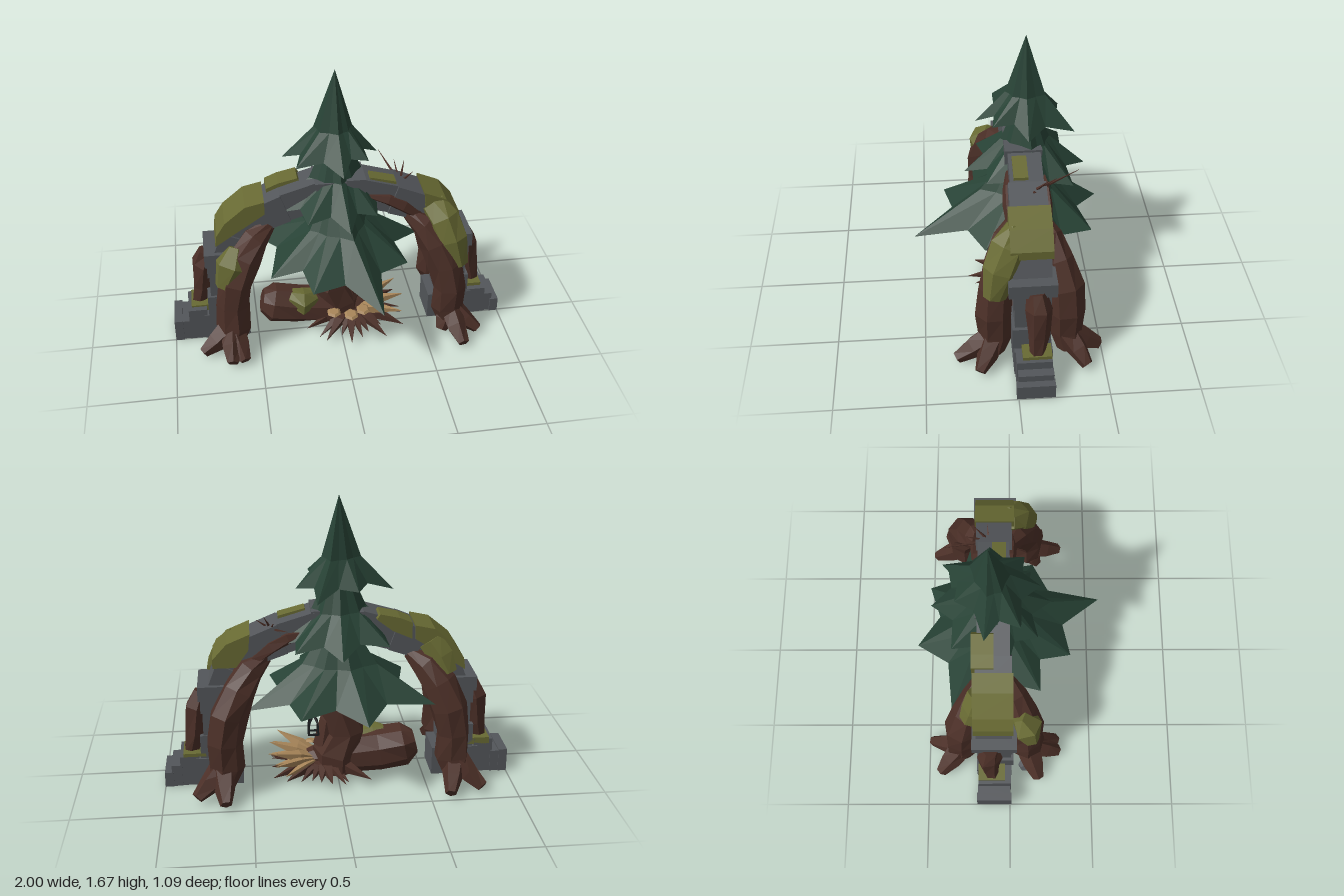
import * as THREE from 'three';

const mat = (name, color) => new THREE.MeshStandardMaterial({ name, color, flatShading: true });

export function createModel() {
  const root = new THREE.Group();
  const stone = mat('stone', 0x53565a), bark = mat('bark', 0x4b2f27), moss = mat('moss', 0x686a33);
  const needles = mat('needles', 0x274235), wood = mat('splitWood', 0xa68458), iron = mat('iron', 0x1c1e20);
  needles.side = THREE.DoubleSide;
  let seed = 7;
  const rnd = () => (seed = (seed * 16807) % 2147483647) / 2147483647;

  const add = (name, geo, material, parent = root) => {
    const m = new THREE.Mesh(geo, material);
    m.name = name;
    parent.add(m);
    return m;
  };
  const fromTriangles = (points) => {
    const g = new THREE.BufferGeometry().setFromPoints(points);
    g.computeVertexNormals();
    return g;
  };

  // Faceted limb through [x, y, z, radius] stations, slightly uneven
  function limb(stations, sides = 6, rough = 0.12) {
    const c = stations.map((s) => new THREE.Vector3(s[0], s[1], s[2]));
    const n = c.length, dir = c[n - 1].clone().sub(c[0]).normalize();
    const ref = Math.abs(dir.z) > 0.6 ? new THREE.Vector3(1, 0, 0) : new THREE.Vector3(0, 0, 1);
    const rings = c.map((p, i) => {
      const t = c[Math.min(i + 1, n - 1)].clone().sub(c[Math.max(i - 1, 0)]).normalize();
      const u = ref.clone().cross(t).normalize(), v = t.clone().cross(u);
      return Array.from({ length: sides }, (_, j) => {
        const a = (j + 0.5) / sides * Math.PI * 2, r = stations[i][3] * (1 + (rnd() - 0.5) * 2 * rough);
        return p.clone().addScaledVector(u, Math.cos(a) * r).addScaledVector(v, Math.sin(a) * r);
      });
    });
    const tri = [];
    for (let j = 0; j < sides; j++) {
      const k = (j + 1) % sides;
      for (let i = 0; i < n - 1; i++) {
        const [a, b] = [rings[i], rings[i + 1]];
        tri.push(a[j], a[k], b[k], a[j], b[k], b[j]);
      }
      tri.push(c[0], rings[0][k], rings[0][j], c[n - 1], rings[n - 1][j], rings[n - 1][k]);
    }
    return fromTriangles(tri);
  }

  // Box given by its limits
  function block(name, x0, x1, y0, y1, z0, z1, material = stone) {
    const m = add(name, new THREE.BoxGeometry(x1 - x0, y1 - y0, z1 - z0), material);
    m.position.set((x0 + x1) / 2, (y0 + y1) / 2, (z0 + z1) / 2);
  }
  // Front outline pushed through in z
  function prism(name, outline, z0, z1, material) {
    const shape = new THREE.Shape(outline.map((p) => new THREE.Vector2(p[0], p[1])));
    const g = new THREE.ExtrudeGeometry(shape, { depth: z1 - z0, bevelEnabled: false });
    add(name, g.translate(0, 0, z0), material);
  }

  // Arch stones, from the right end over the top to the left end
  const outerHalf = [[0.73, 0.62], [0.68, 0.75], [0.53, 0.89], [0.34, 0.97], [0.14, 1.03]];
  const innerHalf = [[0.57, 0.62], [0.53, 0.68], [0.42, 0.75], [0.28, 0.8], [0.11, 0.85]];
  const mirrored = (half) => [...half, ...half.map(([x, y]) => [-x, y]).reverse()];
  const outer = mirrored(outerHalf), inner = mirrored(innerHalf);
  for (let i = 0; i < outer.length - 1; i++) {
    const d = (i % 2) * 0.012;
    prism('archStone', [outer[i], outer[i + 1], inner[i + 1], inner[i]], -0.195 + d, 0.012 - d, stone);
  }
  block('keystone', 0.04, 0.15, 0.9, 1.04, -0.19, 0.015);

  // Toe tips [|x|, z] for each giant root: side, then front and back
  const toes = {
    '1,1': [[0.82, 0.2], [0.7, 0.325], [0.6, 0.18]], '1,-1': [[0.81, -0.4], [0.65, -0.485]],
    '-1,1': [[0.84, 0.18], [0.67, 0.3], [0.6, 0.29]], '-1,-1': [[0.8, -0.43], [0.61, -0.485]],
  };
  // Pillars, caps and stepped bases
  for (const s of [1, -1]) {
    const b = (name, x0, x1, y0, y1, z0, z1, m) => block(name, Math.min(s * x0, s * x1), Math.max(s * x0, s * x1), y0, y1, z0, z1, m);
    b('pillarBase', 0.55, 0.82, 0, 0.17, -0.2, 0.01);
    b('baseStep', 0.8, 0.91, 0, s > 0 ? 0.18 : 0.21, -0.19, 0.005);
    b('baseStep', 0.9, 0.96, 0, 0.13, -0.195, 0);
    b('baseStep', 0.95, 1, 0, s > 0 ? 0.09 : 0.14, -0.2, 0.01);
    b('pillarStone', 0.6, 0.79, 0.17, 0.31, -0.19, 0.02);
    b('pillarStone', 0.59, 0.77, 0.31, 0.45, -0.18, 0.005);
    b('pillarStone', 0.6, 0.78, 0.45, 0.55, -0.19, 0.015);
    b('pillarCap', 0.58, 0.79, 0.54, 0.625, -0.22, 0.04);
    b('stepMoss', 0.76, 0.89, 0.18, s > 0 ? 0.2 : 0.22, -0.19, -0.03, moss);
    // Buttress root outside the pillar
    add('sideRoot', limb([[s * 0.77, 0.56, -0.11, 0.05], [s * 0.8, 0.47, -0.12, 0.07], [s * 0.82, 0.3, -0.12, 0.06], [s * 0.85, 0.17, -0.11, 0.04]]), bark);

    // Giant roots, front and back, each ending in thick toes
    for (const f of [1, -1]) {
      const z = (v) => -0.09 + f * (v + 0.09);
      add('giantRoot', limb([[s * 0.4, 0.775, z(-0.02), 0.035], [s * 0.49, 0.71, z(0.02), 0.08], [s * 0.565, 0.61, z(0.065), 0.095],
        [s * 0.62, 0.47, z(0.1), 0.1], [s * 0.645, 0.32, z(0.11), 0.1], [s * 0.645, 0.17, z(0.11), 0.098], [s * 0.67, 0.06, z(0.13), 0.075]], 7), bark);
      for (const [tx, tz] of toes[[s, f]]) {
        const mx = 0.45 * 0.66 + 0.55 * tx, mz = 0.45 * z(0.11) + 0.55 * tz;
        add('rootToe', limb([[s * 0.66, 0.16, z(0.11), 0.075], [s * mx, 0.085, mz, 0.06], [s * tx, 0.032, tz, 0.034]], 5), bark);
      }
    }
  }
  // Short roots breaking out of the arch faces
  for (const z of [0, -0.19])
    add('archRoot', limb([[0.17, 0.92, z, 0.012], [0.28, 0.89, z, 0.036], [0.37, 0.84, z, 0.04], [0.47, 0.76, z, 0.03]], 5), bark);
  add('looseStone', new THREE.DodecahedronGeometry(0.04), stone).position.set(-0.76, 0.035, 0.09);

  // Moss over the arch shoulders and top
  prism('leftArchMoss', [[-0.72, 0.67], [-0.43, 0.865], [-0.43, 0.945], [-0.54, 0.92], [-0.66, 0.82], [-0.71, 0.74]].reverse(), -0.21, 0.02, moss);
  prism('leftTopMoss', [[-0.41, 0.87], [-0.3, 0.92], [-0.21, 0.99], [-0.23, 1.02], [-0.34, 0.995], [-0.41, 0.965]], -0.215, -0.09, moss);
  prism('rightArchMoss', [[0.5, 0.83], [0.57, 0.73], [0.7, 0.73], [0.7, 0.78], [0.62, 0.87], [0.49, 0.925]], -0.205, 0.025, moss);
  prism('rightTopMoss', [[0.17, 0.99], [0.33, 0.95], [0.33, 0.99], [0.18, 1.03]], -0.1, -0.02, moss);
  add('rightRootMoss', limb([[0.55, 0.83, -0.03, 0.075], [0.61, 0.75, 0.02, 0.105], [0.645, 0.63, 0.075, 0.105], [0.69, 0.47, 0.11, 0.06]], 7), moss);
  add('leftRootMoss', limb([[-0.6, 0.67, 0.045, 0.05], [-0.635, 0.58, 0.095, 0.095], [-0.69, 0.46, 0.13, 0.05]], 6), moss);
  add('backRootMoss', limb([[-0.52, 0.84, -0.16, 0.08], [-0.58, 0.75, -0.19, 0.085], [-0.62, 0.66, -0.23, 0.06]], 6), moss);

  // Dead twigs on the arch
  for (const [x, y, z] of [[0.41, 1.02, -0.2], [0.36, 1.0, -0.25], [0.29, 1.0, -0.38], [0.45, 0.98, -0.13]])
    add('archTwig', limb([[0.37, 0.92, -0.12, 0.012], [x, y, z, 0.001]], 4), bark);

  // Fallen log and the crooked trunk growing from it
  add('fallenLog', limb([[-0.465, 0.17, -0.09, 0.07], [-0.4, 0.155, -0.09, 0.12], [-0.25, 0.125, -0.08, 0.12], [-0.05, 0.105, -0.08, 0.11], [0.12, 0.08, -0.08, 0.08], [0.2, 0.07, -0.08, 0.05]], 8), bark);
  add('logMoss', limb([[-0.3, 0.21, -0.05, 0.05], [-0.22, 0.18, -0.03, 0.085], [-0.14, 0.2, -0.05, 0.05]], 7), moss);
  add('trunk', limb([[0.01, 0.03, -0.1, 0.14], [0.01, 0.14, -0.1, 0.13], [-0.045, 0.27, -0.1, 0.12], [0.01, 0.44, -0.1, 0.095], [-0.01, 0.6, -0.1, 0.08], [-0.01, 1, -0.11, 0.05]], 7), bark);
  add('sideBranch', limb([[0.07, 0.18, -0.1, 0.07], [0.05, 0.34, -0.1, 0.055], [0, 0.47, -0.1, 0.05]], 5), bark);
  for (const path of [
    [[-0.04, 0.37, -0.08, 0.025], [-0.18, 0.43, -0.06, 0.016], [-0.25, 0.49, -0.05, 0.003]],
    [[-0.16, 0.42, -0.06, 0.014], [-0.25, 0.43, -0.04, 0.01], [-0.34, 0.47, -0.03, 0.002]],
    [[0.03, 0.42, -0.1, 0.02], [0.1, 0.43, -0.12, 0.014], [0.17, 0.42, -0.13, 0.008]]])
    add('deadBranch', limb(path, 5), bark);

  // Splintered wood fanning out at the base, pale on the broken side
  const splinter = (a, len, rise, w, pale) => {
    const at = (r, y, rad) => [0.08 + Math.cos(a) * r, y, -0.08 + Math.sin(a) * r, rad];
    add(pale ? 'paleSplinter' : 'barkSplinter', limb([at(0.04, 0.08, w), at(len * 0.5, 0.05 + rise * 0.45, w), at(len, rise, 0.001)], 4), pale ? wood : bark);
  };
  for (let i = 0; i < 26; i++) splinter(i / 26 * Math.PI * 2, 0.22 + rnd() * 0.13, 0.005 + rnd() * 0.05, 0.024 + rnd() * 0.018, false);
  for (let i = 0; i < 9; i++) splinter(-0.7 + i * 0.17, 0.29 + rnd() * 0.05, 0.07 + (i % 3) * 0.05, 0.034, true);
  for (const [x, z] of [[-0.04, 0.04], [0.06, 0.08], [0.14, 0.04]]) {
    const chip = add('woodChip', new THREE.CylinderGeometry(0.03, 0.045, 0.012, 6), wood);
    chip.position.set(x, 0.135, z);
    chip.rotation.x = 0.25;
  }

  // Small hanging lantern frame
  const lantern = new THREE.Group();
  lantern.name = 'lantern';
  lantern.position.set(0.14, 0.27, -0.13);
  root.add(lantern);
  const rod = (p, q, r = 0.007) => add('lanternRod', limb([[...p, r], [...q, r]], 4, 0), iron, lantern);
  for (const [x, z] of [[1, 1], [1, -1], [-1, -1], [-1, 1]]) {
    const p = [x * 0.028, 0, z * 0.028], top = [x * 0.024, 0.07, z * 0.024];
    rod(p, top);
    rod(top, [0, 0.115, 0]);
    rod(p, [-z * 0.028, 0, x * 0.028]);
  }
  rod([0, 0.105, 0], [0, 0.155, 0], 0.004);

  // Ragged foliage tiers: star-shaped skirts from [x, z, y] tips
  function tier(apexY, midY, undersideY, tips) {
    const cx = -0.01, cz = -0.11;
    const angle = (p) => Math.atan2(p[1] - cz, p[0] - cx);
    tips.sort((p, q) => angle(p) - angle(q));
    const rim = [], mid = [];
    const put = (x, z, y, k) => {
      rim.push(new THREE.Vector3(x, y, z));
      mid.push(new THREE.Vector3(cx + (x - cx) * k, midY, cz + (z - cz) * k));
    };
    tips.forEach((p, i) => {
      const q = tips[(i + 1) % tips.length], w = 0.76;
      put(p[0], p[1], p[2], 0.4);
      put(cx + ((p[0] + q[0]) / 2 - cx) * w, cz + ((p[1] + q[1]) / 2 - cz) * w, (p[2] + q[2]) / 2 + 0.035, 0.5);
    });
    const apex = new THREE.Vector3(cx, apexY, cz), under = new THREE.Vector3(cx, undersideY, cz), tri = [];
    rim.forEach((r, j) => {
      const k = (j + 1) % rim.length;
      tri.push(apex, mid[k], mid[j], mid[j], mid[k], rim[k], mid[j], rim[k], r, under, r, rim[k]);
    });
    add('foliageTier', fromTriangles(tri), needles);
  }
  tier(1.06, 0.72, 0.66, [[0.17, 0.54, 0.48], [-0.2, 0.36, 0.53], [-0.42, 0.18, 0.53], [0.38, 0.14, 0.53],
    [-0.53, -0.34, 0.52], [0.52, -0.24, 0.48], [-0.13, -0.55, 0.5], [0.23, -0.48, 0.52]]);
  tier(1.38, 1.03, 0.97, [[-0.4, -0.02, 0.84], [-0.2, 0.16, 0.86], [0.03, 0.24, 0.83], [0.2, 0.12, 0.86],
    [0.39, -0.17, 0.83], [0.25, -0.36, 0.86], [0, -0.45, 0.84], [-0.27, -0.33, 0.87]]);
  tier(1.67, 1.33, 1.26, [[-0.25, 0.06, 1.17], [0, 0.17, 1.15], [0.15, 0.08, 1.2], [0.23, -0.11, 1.15],
    [0.13, -0.37, 1.14], [-0.1, -0.3, 1.18], [-0.31, -0.14, 1.14]]);

  return root;
}
